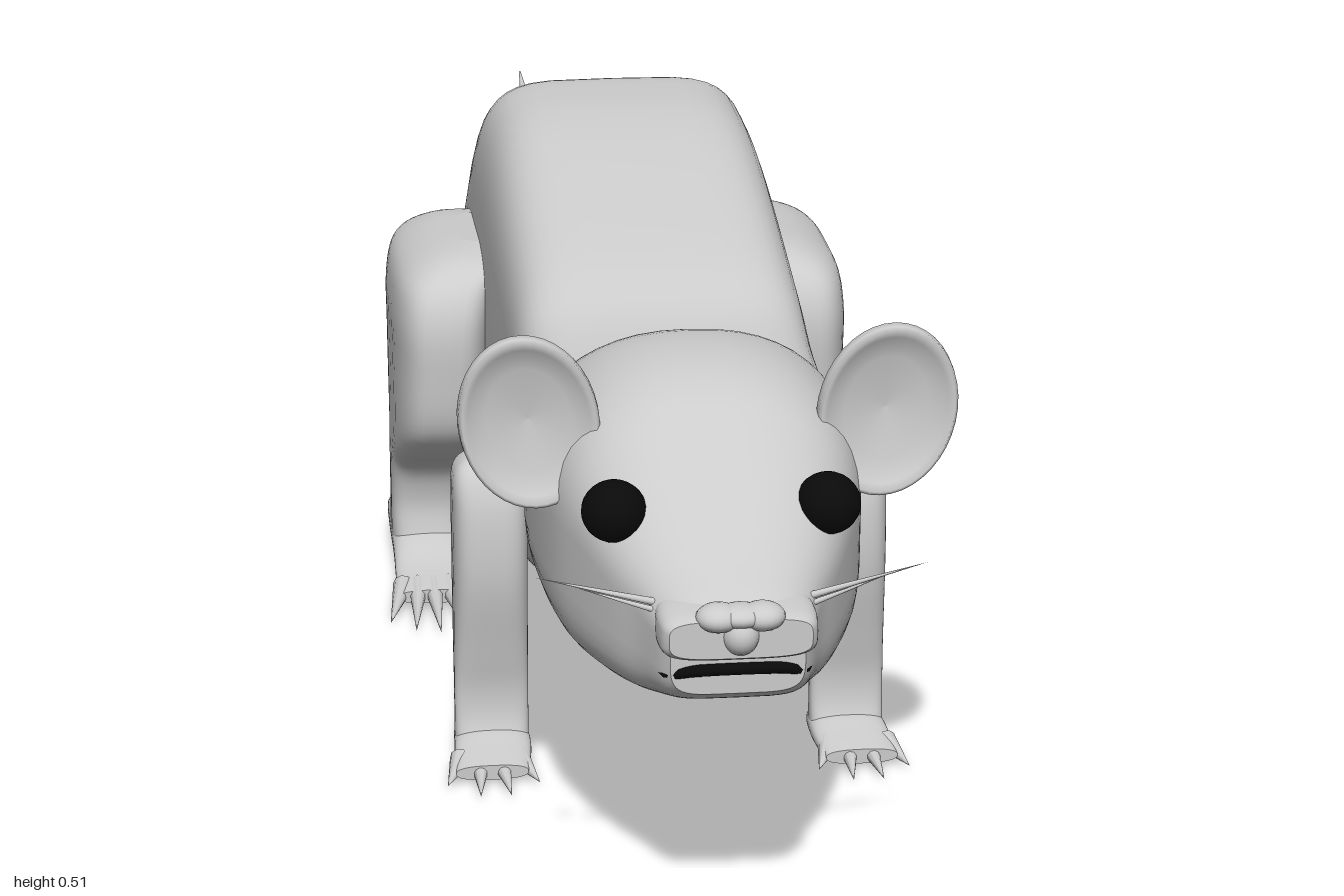
import * as THREE from 'three';

const grey = new THREE.MeshStandardMaterial({ color: 0xcccccc });
const black = new THREE.MeshStandardMaterial({ color: 0x0a0a0a });

// Catmull-Rom blend of four numbers
function blend(a, b, c, d, t) {
  const cubic = 3 * (b - c) + d - a;
  const square = 2 * a - 5 * b + 4 * c - d;
  return b + 0.5 * t * (c - a + t * (square + t * cubic));
}

// Smooth curve through a list of equally long rows of numbers
function smoothRows(rows, steps) {
  const out = [];
  for (let i = 0; i < rows.length - 1; i++) {
    const a = rows[Math.max(i - 1, 0)], b = rows[i], c = rows[i + 1], d = rows[Math.min(i + 2, rows.length - 1)];
    for (let k = 0; k < steps; k++) {
      out.push(b.map((v, j) => blend(a[j], v, c[j], d[j], k / steps)));
    }
  }
  out.push(rows[rows.length - 1]);
  return out;
}

// Loft along z. Row: [z, centreX, halfWidth, low, mid, high, topExponent, bottomExponent]
function loft(rows) {
  const sides = 48, rings = smoothRows(rows, 5), pos = [], index = [];
  const ringPoint = ([z, cx, hw, lo, mid, hi, nTop, nBot], j) => {
    const a = (j / sides) * Math.PI * 2, c = Math.cos(a), s = Math.sin(a);
    const e = 2 / (s >= 0 ? nTop : nBot);
    const v = Math.pow(Math.abs(s), e) * (s >= 0 ? hi - mid : lo - mid);
    pos.push(cx + Math.sign(c) * Math.pow(Math.abs(c), e) * Math.max(hw, 0.0005), mid + v, z);
  };
  rings.forEach((r, i) => {
    for (let j = 0; j < sides; j++) {
      ringPoint(r, j);
      if (i === 0) continue;
      const a = (i - 1) * sides + j, b = (i - 1) * sides + (j + 1) % sides;
      index.push(a, b, a + sides, b, b + sides, a + sides);
    }
  });
  // end caps with their own corners
  [rings[0], rings[rings.length - 1]].forEach((r, end) => {
    const start = pos.length / 3;
    for (let j = 0; j < sides; j++) ringPoint(r, j);
    pos.push(r[1], r[4], r[0]);
    for (let j = 0; j < sides; j++) {
      const a = start + j, b = start + (j + 1) % sides;
      index.push(start + sides, ...(end ? [a, b] : [b, a]));
    }
  });
  const geo = new THREE.BufferGeometry();
  geo.setAttribute('position', new THREE.Float32BufferAttribute(pos, 3));
  geo.setIndex(index);
  geo.computeVertexNormals();
  return geo;
}

function add(parent, name, geo, material = grey) {
  const mesh = new THREE.Mesh(geo, material);
  mesh.name = name;
  parent.add(mesh);
  return mesh;
}

// Tapered spike between two points
function spike(parent, name, from, to, radius) {
  const a = new THREE.Vector3(...from), b = new THREE.Vector3(...to);
  const m = add(parent, name, new THREE.ConeGeometry(radius, a.distanceTo(b), 10));
  m.position.copy(a).lerp(b, 0.5);
  m.quaternion.setFromUnitVectors(new THREE.Vector3(0, 1, 0), b.clone().sub(a).normalize());
}

// Limb standing along y. Row: [y, centreX, halfWidth, zBack, zFront]
function limb(rows, side, n) {
  const turned = rows.map(([y, cx, hw, zb, zf]) => [y, cx * side, hw, -zf, -(zb + zf) / 2, -zb, n, n]);
  return loft(turned).rotateX(-Math.PI / 2);
}

// Foot along z with splayed toes. Row: [z, centreX, halfWidth, low, high]
function foot(parent, name, rows, side, toes, tipZ, spread) {
  const g = new THREE.Group();
  g.name = name;
  parent.add(g);
  add(g, 'sole', loft(rows.map(([z, cx, hw, lo, hi]) => [z, cx * side, hw, lo, (lo + hi) / 2, hi, 2.6, 2.6])));
  const [z, cx, hw] = rows[rows.length - 1];
  for (let i = 0; i < toes; i++) {
    const u = (i / (toes - 1)) * 2 - 1;
    const root = [side * (cx + u * hw * 0.8), 0.014, z - 0.03];
    spike(g, 'toe', root, [side * (cx + u * spread), 0.007, tipZ - 0.03 * u * u], 0.0105);
  }
}

export function createModel() {
  const model = new THREE.Group();
  model.name = 'rodent';

  // Body running into the tail: [z, halfWidth, low, high, squareness]
  const body = [
    [-1, 0.001, 0.241, 0.243, 2], [-0.9, 0.008, 0.209, 0.228, 2], [-0.8, 0.015, 0.198, 0.22, 2],
    [-0.6, 0.033, 0.19, 0.225, 2.2], [-0.4, 0.055, 0.185, 0.235, 2.4], [-0.3, 0.068, 0.182, 0.247, 2.8],
    [-0.25, 0.085, 0.175, 0.268, 3.2], [-0.21, 0.122, 0.16, 0.297, 4], [-0.17, 0.136, 0.142, 0.345, 4.5],
    [-0.1, 0.137, 0.117, 0.425, 5], [0, 0.138, 0.087, 0.502, 5], [0.08, 0.138, 0.079, 0.514, 5],
    [0.2, 0.138, 0.085, 0.502, 5], [0.4, 0.137, 0.126, 0.45, 5], [0.5, 0.136, 0.168, 0.413, 5], [0.62, 0.134, 0.218, 0.4, 5],
  ];
  add(model, 'bodyAndTail', loft(body.map(([z, hw, lo, hi, n]) => [z, 0, hw, lo, (lo + hi) / 2, hi, n, n])));

  // Head, domed above and boxy below: [z, halfWidth, low, mid, high]
  const head = [
    [0.57, 0.139, 0.205, 0.31, 0.415], [0.595, 0.141, 0.2, 0.315, 0.433], [0.65, 0.142, 0.202, 0.325, 0.453],
    [0.72, 0.139, 0.203, 0.33, 0.456], [0.78, 0.131, 0.203, 0.33, 0.443], [0.83, 0.116, 0.206, 0.325, 0.413],
    [0.88, 0.096, 0.213, 0.31, 0.376], [0.92, 0.077, 0.223, 0.3, 0.349], [0.955, 0.064, 0.235, 0.29, 0.33],
    [0.97, 0.056, 0.245, 0.285, 0.32],
  ];
  add(model, 'head', loft(head.map(([z, hw, lo, mid, hi]) => [z, 0, hw, lo, mid, hi, 2.3, 5])));

  // Muzzle overhanging the mouth
  const muzzle = [[0.89, 0.05, 0.285, 0.325], [0.94, 0.065, 0.277, 0.324], [0.975, 0.065, 0.278, 0.32], [0.988, 0.059, 0.283, 0.316]];
  add(model, 'muzzle', loft(muzzle.map(([z, hw, lo, hi]) => [z, 0, hw, lo, (lo + hi) / 2, hi, 4, 4])));

  // Nose with a wide top and narrow lower part
  const nose = new THREE.Group();
  nose.name = 'nose';
  model.add(nose);
  const lobes = [[0, 0.302, 0.016, 0.018], [0.018, 0.317, 0.019, 0.012], [-0.018, 0.317, 0.019, 0.012], [0, 0.318, 0.022, 0.01]];
  lobes.forEach(([x, y, rx, ry]) => {
    const m = add(nose, 'noseLobe', new THREE.SphereGeometry(1, 20, 14));
    m.position.set(x, y, 0.981);
    m.scale.set(rx, ry, 0.018);
  });

  // Mouth slit
  const lips = [[-0.064, 0.258, 0.925], [-0.055, 0.261, 0.962], [-0.04, 0.266, 0.97], [0.04, 0.266, 0.97], [0.055, 0.261, 0.962], [0.064, 0.258, 0.925]];
  const lipCurve = new THREE.CatmullRomCurve3(lips.map((p) => new THREE.Vector3(...p)));
  add(model, 'mouth', new THREE.TubeGeometry(lipCurve, 40, 0.005, 8), black);

  for (const side of [1, -1]) {
    const half = new THREE.Group();
    half.name = side > 0 ? 'leftSide' : 'rightSide';
    model.add(half);

    // Eye
    const eye = add(half, 'eye', new THREE.SphereGeometry(0.029, 24, 16), black);
    eye.position.set(side * 0.09, 0.367, 0.86);
    eye.scale.set(0.95, 0.9, 1);

    // Cupped ear
    const cup = [[0, -0.013], [0.7, -0.013], [0.93, -0.008], [1, 0.002], [0.99, 0.01], [0.94, 0.013], [0.86, 0.009], [0.6, 0.001], [0, -0.003]];
    const cupPoints = cup.map(([r, y]) => new THREE.Vector2(r, y));
    const ear = add(half, 'ear', new THREE.LatheGeometry(cupPoints, 40).rotateX(Math.PI / 2));
    ear.scale.set(0.06, 0.077, 1.15);
    ear.position.set(side * 0.153, 0.418, 0.77);
    ear.rotation.z = -side * 0.2;

    // Whiskers
    spike(half, 'whisker', [side * 0.055, 0.312, 0.935], [side * 0.163, 0.337, 0.928], 0.0035);
    spike(half, 'whisker', [side * 0.055, 0.306, 0.94], [side * 0.13, 0.325, 0.922], 0.003);

    // Front leg and paw
    add(half, 'frontLeg', limb([
      [0.015, 0.165, 0.034, 0.485, 0.535], [0.04, 0.165, 0.034, 0.495, 0.525], [0.07, 0.165, 0.034, 0.495, 0.523],
      [0.11, 0.165, 0.034, 0.481, 0.53], [0.18, 0.165, 0.034, 0.462, 0.543], [0.24, 0.165, 0.034, 0.458, 0.542],
      [0.275, 0.166, 0.032, 0.466, 0.532], [0.29, 0.166, 0.022, 0.48, 0.518], [0.296, 0.166, 0.006, 0.495, 0.505],
    ], side, 3.5));
    foot(half, 'frontPaw', [
      [0.474, 0.165, 0.02, 0.008, 0.018], [0.485, 0.165, 0.032, 0.003, 0.026], [0.52, 0.165, 0.035, 0.002, 0.032],
      [0.55, 0.167, 0.035, 0.003, 0.026], [0.58, 0.17, 0.033, 0.005, 0.019],
    ], side, 4, 0.625, 0.042);

    // Hind leg with its haunch
    add(half, 'hindLeg', limb([
      [0.02, 0.188, 0.036, -0.055, 0.055], [0.045, 0.188, 0.037, -0.03, 0.045], [0.08, 0.188, 0.037, -0.022, 0.042],
      [0.12, 0.186, 0.039, -0.035, 0.06], [0.155, 0.182, 0.043, -0.06, 0.12], [0.19, 0.18, 0.045, -0.085, 0.155],
      [0.25, 0.178, 0.047, -0.105, 0.165], [0.3, 0.176, 0.049, -0.105, 0.165], [0.335, 0.168, 0.049, -0.09, 0.15],
      [0.355, 0.146, 0.044, -0.06, 0.12], [0.363, 0.132, 0.025, -0.02, 0.08],
    ], side, 3.4));
    foot(half, 'hindPaw', [
      [-0.095, 0.188, 0.02, 0.027, 0.037], [-0.08, 0.188, 0.034, 0.018, 0.046], [-0.03, 0.188, 0.037, 0.012, 0.054],
      [0.04, 0.188, 0.037, 0.006, 0.045], [0.09, 0.188, 0.038, 0.004, 0.028], [0.14, 0.19, 0.037, 0.005, 0.019],
    ], side, 5, 0.225, 0.048);
  }
  return model;
}
